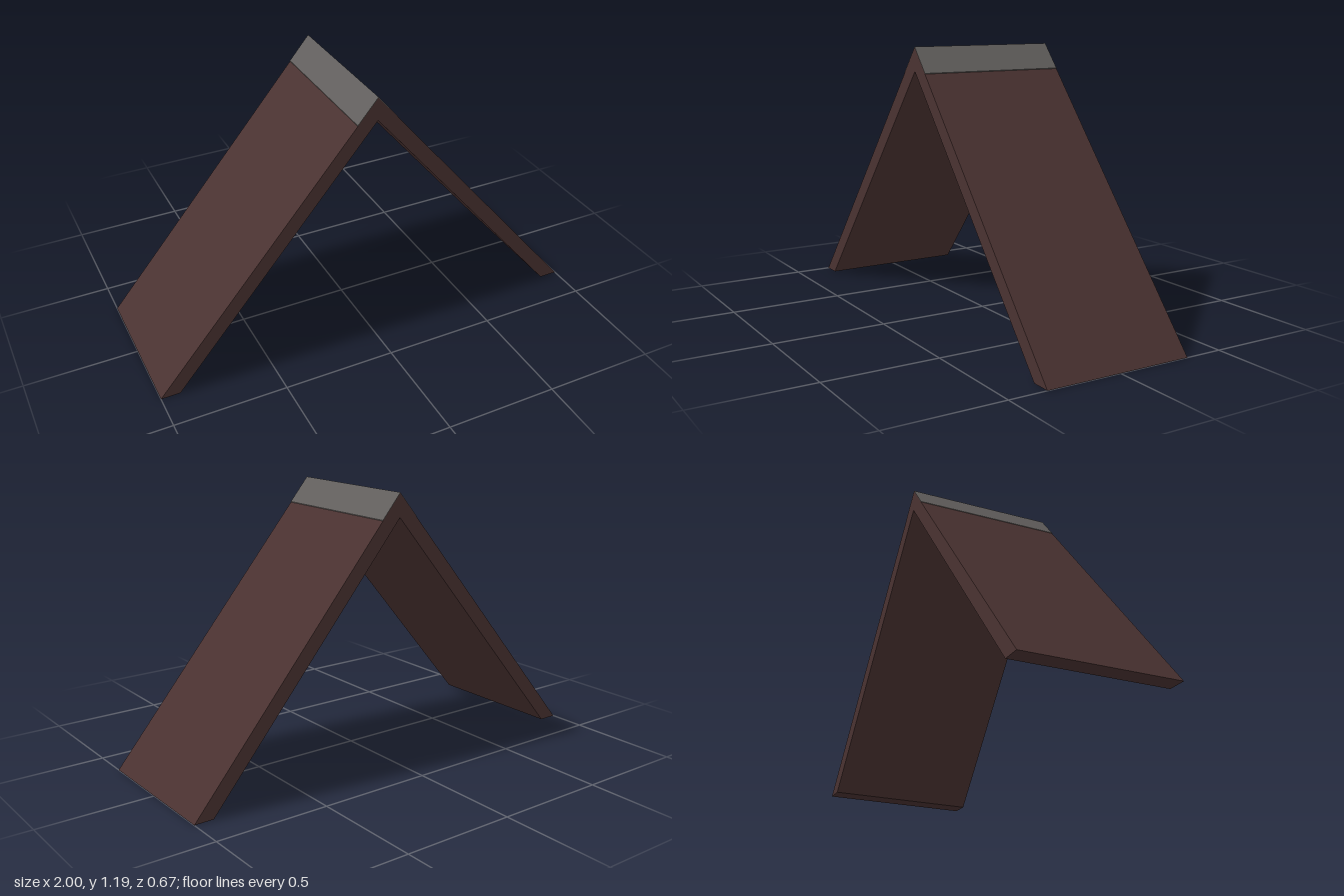
import * as THREE from 'three';

const DEPTH = 0.667;

// Extrudes an outline along z, centred on z = 0
function extrude(points, material, name) {
  const shape = new THREE.Shape(points.map(([x, y]) => new THREE.Vector2(x, y)));
  const geometry = new THREE.ExtrudeGeometry(shape, { depth: DEPTH, bevelEnabled: false });
  geometry.translate(0, 0, -DEPTH / 2);
  const mesh = new THREE.Mesh(geometry, material);
  mesh.name = name;
  return mesh;
}

export function createModel() {
  const brown = new THREE.MeshStandardMaterial({ color: 0x4a3231 });
  brown.name = 'dark brown shingle';
  const grey = new THREE.MeshStandardMaterial({ color: 0x625f5d });
  grey.name = 'grey ridge';

  const roof = new THREE.Group();
  roof.name = 'gableRoof';

  // Two sloping slabs meeting at the ridge, cut level at the eaves
  roof.add(extrude(
    [[-1, 0], [-0.915, 0], [0, 1.082], [0.915, 0], [1, 0], [0, 1.183]],
    brown, 'roofSlopes'));

  // Thin folded strip along the ridge
  const slope = 1.183, w = 0.09, top = 1.186, base = 1.183;
  roof.add(extrude(
    [[-w, base - slope * w], [0, base], [w, base - slope * w],
      [w, top - slope * w], [0, top], [-w, top - slope * w]],
    grey, 'ridgeCap'));

  return roof;
}
